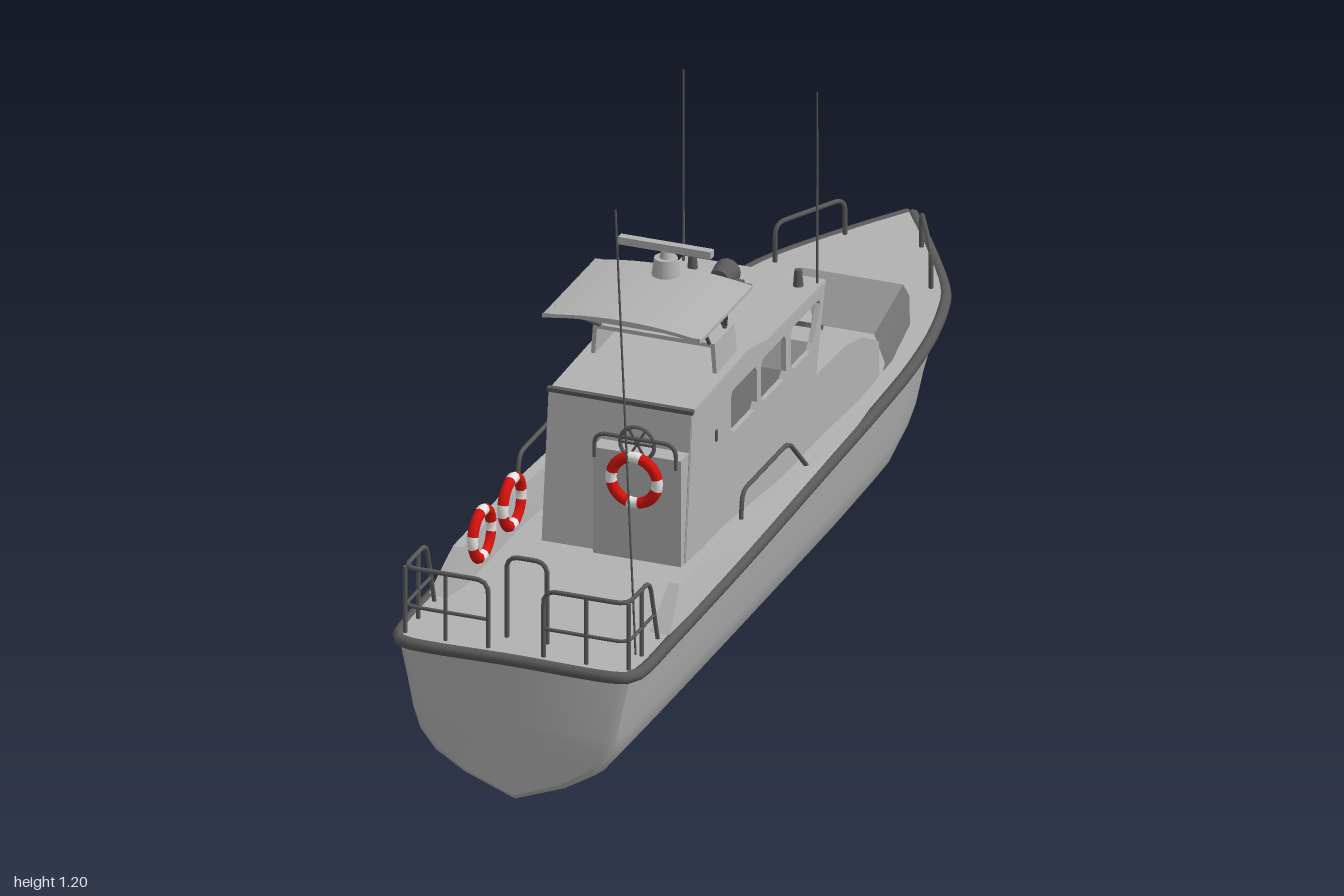
import * as THREE from 'three';
import { toCreasedNormals } from 'three/addons/utils/BufferGeometryUtils.js';

const mat = (name, color, side = THREE.FrontSide) => {
  const m = new THREE.MeshStandardMaterial({ color, side });
  m.name = name;
  return m;
};
const V = (x, y, z) => new THREE.Vector3(x, y, z);

// Skin through cross-sections that all have the same number of points
function loft(sections, crease) {
  const n = sections[0].length, index = [];
  for (let i = 0; i < sections.length - 1; i++)
    for (let j = 0; j < n - 1; j++) {
      const a = i * n + j, c = a + n;
      index.push(a, c, a + 1, a + 1, c, c + 1);
    }
  const g = new THREE.BufferGeometry();
  g.setAttribute('position', new THREE.Float32BufferAttribute(sections.flat(2), 3));
  g.setIndex(index);
  return toCreasedNormals(g, crease);
}

// Half section (from +x edge to centre) completed by its mirror image
const whole = half => [...half, ...half.slice(0, -1).reverse().map(([x, y, z]) => [-x, y, z])];

// Polyline tube with rounded corners
function tube(points, r, bend = 0.025) {
  const path = new THREE.CurvePath();
  let from = points[0];
  for (let i = 1; i < points.length - 1; i++) {
    const p = points[i];
    const a = p.clone().add(points[i - 1].clone().sub(p).setLength(bend));
    const b = p.clone().add(points[i + 1].clone().sub(p).setLength(bend));
    path.add(new THREE.LineCurve3(from, a));
    path.add(new THREE.QuadraticBezierCurve3(a, p, b));
    from = b;
  }
  path.add(new THREE.LineCurve3(from, points.at(-1)));
  return new THREE.TubeGeometry(path, points.length > 2 ? 40 : 1, r, 6);
}

const shapeOf = (pts, holes = []) => {
  const s = new THREE.Shape(pts.map(p => new THREE.Vector2(...p)));
  holes.forEach(h => s.holes.push(new THREE.Path(h.map(p => new THREE.Vector2(...p)))));
  return s;
};
// Outline given as [z, y], extruded across x from x0 to x1
const across = (pts, x0, x1, holes) =>
  new THREE.ExtrudeGeometry(shapeOf(pts, holes), { depth: x1 - x0, bevelEnabled: false })
    .rotateY(-Math.PI / 2).translate(x1, 0, 0);

// Hull stations: z, half width, keel height, sheer height
const stations = [
  [-0.99, 0.004, 0.34, 0.355], [-0.9, 0.066, 0.245, 0.353], [-0.8, 0.13, 0.14, 0.35], [-0.75, 0.16, 0.092, 0.348],
  [-0.7, 0.185, 0.058, 0.346], [-0.66, 0.198, 0.036, 0.345], [-0.55, 0.222, 0.01, 0.342], [-0.4, 0.238, 0.002, 0.338],
  [-0.2, 0.243, 0, 0.332], [0.03, 0.244, 0, 0.325], [0.45, 0.244, 0, 0.31], [0.72, 0.243, 0, 0.304],
  [0.8, 0.242, 0, 0.302], [0.94, 0.24, 0, 0.3], [0.975, 0.232, 0.004, 0.3], [0.987, 0.215, 0.015, 0.3],
];
const fullForm = [[1, 1], [0.92, 0.72], [0.87, 0.52], [0.81, 0.38], [0.68, 0.25], [0.43, 0.13], [0, 0]];
const bowForm = [[1, 1], [0.85, 0.75], [0.72, 0.55], [0.6, 0.4], [0.45, 0.25], [0.25, 0.11], [0, 0]];

export function createModel() {
  const boat = new THREE.Group();
  const grey = mat('light grey paint', 0xb2b2b2, THREE.DoubleSide);
  const dark = mat('dark grey fittings', 0x5a5a5a);
  const red = mat('lifebuoy red', 0xd8120c);
  const white = mat('lifebuoy white', 0xe8e8e8);

  const add = (name, geo, m, pos = [0, 0, 0], parent = boat) => {
    const mesh = new THREE.Mesh(geo, m);
    mesh.name = name;
    mesh.position.set(...pos);
    parent.add(mesh);
    return mesh;
  };
  const box = (name, w, h, d, m, pos) => add(name, new THREE.BoxGeometry(w, h, d), m, pos);
  const cyl = (name, r0, r1, h, m, pos) => add(name, new THREE.CylinderGeometry(r0, r1, h, 16), m, pos);

  // Hull, closed at the transom by a section folded onto the centreline
  const hull = stations.map(([z, w, k, s]) => {
    const t = THREE.MathUtils.smoothstep(z, -0.95, -0.4);
    return whole(fullForm.map(([fx, fy], i) => {
      const [bx, by] = bowForm[i];
      return [w * THREE.MathUtils.lerp(bx, fx, t), k + (s - k) * THREE.MathUtils.lerp(by, fy, t), z];
    }));
  });
  hull.push(hull.at(-1).map(([, y, z]) => [0, y, z]));
  add('hull', loft(hull, 0.7), grey);

  // Deck with sunken well and raised bulwarks
  const deck = stations.map(([z, w, , s]) => {
    let top = s, inner = w - 0.038, floorX = w - 0.045, floorY = 0.295;
    if (z <= -0.7) { inner = floorX = w * 0.55; floorY = top; }
    else if (z < -0.6) { inner = 0.13; floorX = 0.06; floorY = 0.255; }
    else if (z < -0.5) { inner = 0.175; floorX = 0.125; floorY = 0.255; }
    else if (z < -0.3) { inner = 0.2; floorX = 0.17; floorY = 0.255; }
    else if (z < 0.04) { floorY = 0.265; top = Math.max(s, 0.332); }
    else if (z < 0.75) top = 0.37;
    else floorY = top;
    const outer = top > s + 0.02 ? w - 0.018 : w * 0.985;
    return whole([[w, s, z], [outer, top, z], [inner, top, z], [floorX, floorY, z], [0, floorY, z]]).reverse();
  });
  add('deck', loft(deck, 0.4), grey);

  // Rubbing strake around the sheer
  const side = stations.map(([z, w, , s]) => V(w, s - 0.009, z));
  const strake = [...side, V(0, 0.291, 0.988), ...side.map(p => V(-p.x, p.y, p.z)).reverse()];
  add('rubbingStrake', new THREE.TubeGeometry(new THREE.CatmullRomCurve3(strake), 160, 0.012, 8), dark);

  // Wheelhouse side walls with see-through windows
  const wall = [[-0.165, 0.25], [-0.165, 0.4], [-0.21, 0.57], [0.08, 0.575], [0.17, 0.594], [0.45, 0.585], [0.485, 0.29]];
  const pane = (a, b, c = a, d = b) => [
    [a + 0.012, 0.46], [a, 0.472], [c, 0.535], [c + 0.01, 0.547], [d - 0.01, 0.547], [d, 0.535], [b, 0.472], [b - 0.012, 0.46]];
  const panes = [pane(0.13, 0.26), pane(-0.015, 0.11), pane(-0.148, -0.04, -0.187, -0.04)];
  for (const x of [-0.143, 0.133]) add('wheelhouseWall', across(wall, x, x + 0.01, panes), grey);

  // Roof and aft bulkhead folded from one strip
  add('wheelhouseRoof', across([[-0.215, 0.562], [-0.215, 0.572], [0.08, 0.577], [0.17, 0.596], [0.453, 0.588],
    [0.488, 0.29], [0.476, 0.29], [0.442, 0.576], [0.17, 0.584], [0.08, 0.565]], -0.142, 0.142), grey);
  box('roofEdge', 0.29, 0.008, 0.012, dark, [0, 0.588, 0.45]);

  // Windscreen raked forward, three panes
  const front = [-0.09, 0, 0.09].map(x => [[x - 0.037, 0.06], [x + 0.037, 0.06], [x + 0.037, 0.148], [x - 0.037, 0.148]]);
  const screen = new THREE.ExtrudeGeometry(
    shapeOf([[-0.135, 0], [0.135, 0], [0.135, 0.172], [-0.135, 0.172]], front), { depth: 0.01, bevelEnabled: false });
  add('windscreen', screen.rotateX(-0.259), grey, [0, 0.4, -0.165]);

  // Forward trunk cabin and its hatch
  add('trunkCabin', across([[-0.48, 0.25], [-0.475, 0.335], [-0.395, 0.377], [-0.31, 0.397], [-0.16, 0.4], [-0.16, 0.25]],
    -0.143, 0.143), grey);
  const hs = new THREE.Shape();
  hs.absellipse(0, 0, 0.01, 0.01, 0, 1);
  const hatchOutline = [[-0.04, -0.03], [-0.03, -0.042], [0.03, -0.042], [0.04, -0.03], [0.04, 0.03], [0.03, 0.042], [-0.03, 0.042], [-0.04, 0.03]];
  const hatch = new THREE.ExtrudeGeometry(shapeOf(hatchOutline), { depth: 0.009, bevelEnabled: false });
  add('foredeckHatch', hatch.rotateX(-Math.PI / 2 - 0.46), dark, [0, 0.362, -0.428]);

  // Open arch on the roof, canopy, struts
  const legs = shapeOf([[-0.125, 0], [-0.121, 0.06], [0.121, 0.06], [0.125, 0], [0.117, 0], [0.113, 0.052], [-0.113, 0.052], [-0.117, 0]]);
  add('roofArch', new THREE.ExtrudeGeometry(legs, { depth: 0.1, bevelEnabled: false }), grey, [0, 0.592, 0.185]);
  const canopy = [0.187, 0.447].map(z => {
    const rim = [];
    for (let i = 0; i <= 12; i++) {
      const u = i / 6 - 1;
      rim.push([u * 0.157, 0.749 - 0.014 * u * u, z]);
    }
    return [...rim, ...rim.map(([x, y]) => [x, y - 0.007, z]).reverse(), rim[0]];
  });
  canopy.unshift(canopy[0].map(([x, , z]) => [x, 0.738, z]));
  canopy.push(canopy[2].map(([x, , z]) => [x, 0.738, z]));
  add('canopy', loft(canopy, 0.5), grey);
  for (const s of [-1, 1]) {
    add('canopyStrut', tube([V(s * 0.108, 0.65, 0.28), V(s * 0.15, 0.735, 0.41)], 0.004), dark);
    add('canopyStrut', tube([V(s * 0.108, 0.65, 0.2), V(s * 0.15, 0.735, 0.3)], 0.004), dark);
    add('canopyStrut', tube([V(s * 0.112, 0.65, 0.21), V(s * 0.095, 0.742, 0.25)], 0.004), dark);
  }

  // Radar
  cyl('radarPedestal', 0.022, 0.027, 0.035, grey, [0, 0.765, 0.225]);
  cyl('radarShaft', 0.009, 0.012, 0.016, grey, [0, 0.79, 0.225]);
  box('radarBar', 0.184, 0.015, 0.016, grey, [0, 0.804, 0.225]);

  // Searchlight and roof fittings
  cyl('searchlightPost', 0.012, 0.02, 0.035, dark, [0, 0.59, -0.06]);
  cyl('searchlight', 0.026, 0.02, 0.045, dark, [0, 0.622, -0.06]).rotation.x = -Math.PI / 2;
  box('searchlightYoke', 0.08, 0.012, 0.012, dark, [0, 0.612, -0.06]);
  for (const s of [-1, 1]) {
    cyl('roofLamp', 0.007, 0.01, 0.035, dark, [s * 0.105, 0.588, -0.17]);
    cyl('whipAntenna', 0.0015, 0.0025, 0.39, dark, [s * 0.133, 0.765, -0.195]);
    box('wallVent', 0.004, 0.022, 0.008, dark, [s * 0.144, 0.492, 0.335]);
  }
  add('tallAntenna', tube([V(0.21, 0.3, 0.9), V(0.17, 1.2, 0.9)], 0.002), dark);

  // Aft steering console with grab rail and wheel
  box('aftConsole', 0.175, 0.22, 0.05, grey, [0.053, 0.4, 0.477]);
  add('consoleRail', tube([V(-0.032, 0.49, 0.5), V(-0.032, 0.54, 0.5), V(0.13, 0.54, 0.5), V(0.13, 0.49, 0.5)], 0.004), dark);
  add('steeringWheel', new THREE.TorusGeometry(0.034, 0.004, 6, 24), dark, [0.053, 0.53, 0.5]);
  for (let i = 0; i < 3; i++)
    box('wheelSpoke', 0.066, 0.004, 0.004, dark, [0.053, 0.53, 0.5]).rotation.z = i * Math.PI / 3;

  // Lifebuoys in alternating red and white arcs
  const lifebuoy = (pos, turn) => {
    const ring = new THREE.Group();
    ring.name = 'lifebuoy';
    for (let i = 0; i < 4; i++) {
      const start = i * Math.PI / 2 + 0.2;
      add('redArc', new THREE.TorusGeometry(0.046, 0.011, 8, 8, 1.1), red, [0, 0, 0], ring).rotation.z = start;
      add('whiteArc', new THREE.TorusGeometry(0.046, 0.011, 8, 4, Math.PI / 2 - 1.1), white, [0, 0, 0], ring).rotation.z = start + 1.1;
    }
    ring.position.set(...pos);
    ring.rotation.y = turn;
    boat.add(ring);
  };
  lifebuoy([0.053, 0.463, 0.515], 0);
  lifebuoy([-0.198, 0.367, 0.495], Math.PI / 2);
  lifebuoy([-0.198, 0.367, 0.645], Math.PI / 2);

  // Guard rails, mirrored on both sides
  for (const s of [-1, 1]) {
    add('sideRail', tube([V(s * 0.222, 0.33, 0.41), V(s * 0.222, 0.42, 0.4), V(s * 0.222, 0.42, 0.17), V(s * 0.222, 0.325, 0.07)], 0.0045), dark);
    add('bowRail', tube([V(s * 0.155, 0.34, -0.705), V(s * 0.155, 0.424, -0.705), V(s * 0.076, 0.424, -0.855), V(s * 0.076, 0.345, -0.855)], 0.0045), dark);
    add('sternRail', tube([V(s * 0.055, 0.3, 0.97), V(s * 0.055, 0.435, 0.97), V(s * 0.222, 0.435, 0.97),
      V(s * 0.222, 0.435, 0.86), V(s * 0.222, 0.3, 0.82)], 0.0045), dark);
    add('sternMidRail', tube([V(s * 0.055, 0.357, 0.97), V(s * 0.222, 0.357, 0.97), V(s * 0.222, 0.357, 0.84)], 0.0035), dark);
    for (const [x, z] of [[0.222, 0.965], [0.14, 0.97], [0.222, 0.9]])
      cyl('sternPost', 0.004, 0.004, 0.135, dark, [s * x, 0.367, z]);
  }
  add('sternHoop', tube([V(-0.04, 0.3, 0.915), V(-0.04, 0.465, 0.915), V(0.04, 0.465, 0.915), V(0.04, 0.3, 0.915)], 0.0045), dark);

  return boat;
}
